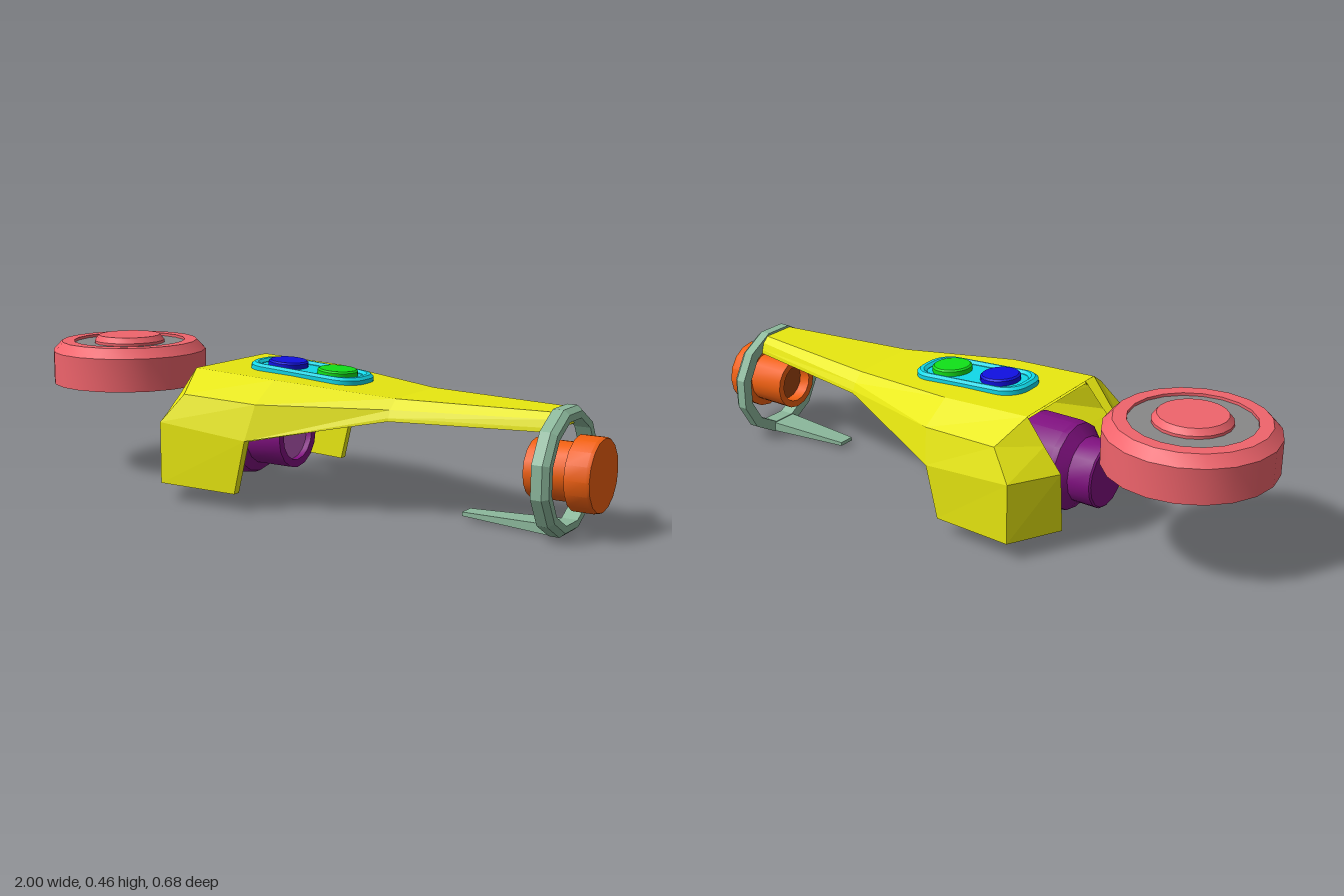
import * as THREE from 'three';
import { toCreasedNormals } from 'three/addons/utils/BufferGeometryUtils.js';

const mat = (color, extra = {}) => new THREE.MeshStandardMaterial({ color, ...extra });
const mats = {
  yellow: mat(0xe8e810, { flatShading: true, side: THREE.DoubleSide }),
  wheel: mat(0xf0646c), grey: mat(0x888888),
  purple: mat(0x801080), lens: mat(0xb858b8),
  orange: mat(0xf06010), nozzle: mat(0xa04410),
  sage: mat(0x8cb89c), cyan: mat(0x10d8e8),
  blue: mat(0x1010e0), green: mat(0x10e018),
};

function part(parent, name, geometry, material) {
  const mesh = new THREE.Mesh(geometry, material);
  mesh.name = name;
  parent.add(mesh);
  return mesh;
}

// Lathe from [radius, height] pairs, about y or (alongX) about x
function turned(points, sides, alongX = false, phase = 0) {
  const g = new THREE.LatheGeometry(points.map(p => new THREE.Vector2(...p)), sides);
  g.rotateY(phase);
  if (alongX) g.rotateZ(-Math.PI / 2);
  return toCreasedNormals(g, 0.4);
}

// Hollow canopy: half sections (bottom to top) mirrored, thickened and swept backward to forward
function shellGeometry() {
  const halves = [
    [[-.42, .06, .175], [-.42, .255, .19], [-.36, .33, .19], [-.30, .41, .19]],
    [[-.33, .06, .34], [-.33, .255, .34], [-.26, .345, .305], [-.30, .41, .19]],
    [[-.06, .055, .32], [-.02, .225, .32], [0, .335, .29], [0, .397, .19]],
    [[-.02, .225, .32], [-.02, .225, .32], [0, .335, .29], [0, .397, .19]],
    [[.39, .305, .165], [.39, .315, .163], [.39, .338, .152], [.39, .367, .12]],
    [[.87, .312, .085], [.87, .325, .083], [.87, .348, .075], [.87, .366, .055]],
  ];
  const drop = [0, .005, .015, .025], inset = [.025, .025, .022, .015];
  const mirror = pts => [...pts, ...pts.map(([x, y, z]) => [x, y, -z]).reverse()];
  const loops = halves.map((half, s) => {
    const dx = [.03, .02][s] ?? 0;
    const inner = half.map(([x, y, z], i) => [x + dx, y - drop[i], z - (s ? inset[i] : 0)]);
    return [...mirror(half), ...mirror(inner).reverse()];
  });
  const n = loops[0].length, index = [];
  const quad = (a, b, c, d) => index.push(a, b, c, a, c, d);
  for (let s = 0; s < loops.length - 1; s++)
    for (let i = 0; i < n; i++) {
      const j = (i + 1) % n, a = s * n, b = a + n;
      quad(a + i, b + i, b + j, a + j);
    }
  // end rims between outer and inner skins
  const e = (loops.length - 1) * n;
  for (let i = 0; i < n / 2 - 1; i++) {
    quad(i, i + 1, n - 2 - i, n - 1 - i);
    quad(e + i, e + n - 1 - i, e + n - 2 - i, e + i + 1);
  }
  const g = new THREE.BufferGeometry();
  g.setAttribute('position', new THREE.Float32BufferAttribute(loops.flat(2), 3));
  g.setIndex(index);
  const flat = g.toNonIndexed();
  flat.computeVertexNormals();
  return flat;
}

function roundedRect(Kind, w, h, r) {
  const s = new Kind();
  s.absarc(w - r, h - r, r, 0, Math.PI / 2);
  s.absarc(-w + r, h - r, r, Math.PI / 2, Math.PI);
  s.absarc(-w + r, -h + r, r, Math.PI, Math.PI * 1.5);
  s.absarc(w - r, -h + r, r, Math.PI * 1.5, Math.PI * 2);
  s.closePath();
  return s;
}

function controlPad() {
  const pad = new THREE.Group();
  pad.name = 'controlPad';
  // raised rim
  const rim = roundedRect(THREE.Shape, .195, .083, .065);
  rim.holes.push(roundedRect(THREE.Path, .182, .078, .06));
  const rimGeo = new THREE.ExtrudeGeometry(rim, {
    depth: .025, bevelThickness: .008, bevelSize: .01, bevelSegments: 1, curveSegments: 5,
  });
  rimGeo.rotateX(-Math.PI / 2).translate(0, -.033, 0);
  part(pad, 'padRim', toCreasedNormals(rimGeo, 0.5), mats.cyan);
  // recessed floor
  const floor = new THREE.ExtrudeGeometry(roundedRect(THREE.Shape, .19, .083, .065),
    { depth: .025, bevelEnabled: false, curveSegments: 5 });
  floor.rotateX(-Math.PI / 2).translate(0, -.035, 0);
  part(pad, 'padFloor', toCreasedNormals(floor, 0.5), mats.cyan);
  // buttons
  const button = turned([[0, -.02], [.064, -.02], [.064, .005], [.058, .01], [0, .01]], 20);
  part(pad, 'blueButton', button, mats.blue).position.x = -.09;
  part(pad, 'greenButton', button, mats.green).position.x = .096;
  pad.position.set(.015, .415, 0);
  pad.rotation.z = -.065;
  return pad;
}

export function createModel() {
  const model = new THREE.Group();
  model.name = 'model';

  part(model, 'bodyShell', shellGeometry(), mats.yellow);
  model.add(controlPad());

  // Wheel lying flat at the tail
  const wheel = new THREE.Group();
  wheel.name = 'wheel';
  wheel.position.x = -.74;
  model.add(wheel);
  part(wheel, 'tyre', turned([[0, .305], [.262, .305], [.262, .415], [.232, .447],
    [.19, .447], [.19, .43], [0, .43]], 20), mats.wheel);
  part(wheel, 'wheelDisc', turned([[.19, .438], [.1, .438]], 20), mats.grey);
  part(wheel, 'hub', turned([[.12, .43], [.12, .447], [.105, .465], [0, .465]], 20), mats.wheel);

  // Drive barrel under the shell
  const barrel = part(model, 'barrel', turned([[0, -.47], [.1, -.47], [.105, -.465], [.105, -.39],
    [.14, -.36], [.143, -.34], [.143, -.21], [.135, -.19], [.105, -.17], [.105, -.04],
    [.08, -.04], [.08, -.06]], 16, true), mats.purple);
  const lens = part(model, 'barrelLens', turned([[.08, -.06], [0, -.06]], 16, true), mats.lens);

  // Nose plug with a hollow rear
  const plug = part(model, 'nosePlug', turned([[.065, .83], [.065, .79], [.088, .79], [.088, .92],
    [.112, .925], [.112, .99], [.108, 1], [0, 1]], 16, true), mats.orange);
  const socket = part(model, 'plugSocket', turned([[0, .83], [.065, .83]], 16, true), mats.nozzle);

  // Twelve-sided nose ring
  const ring = part(model, 'noseRing', turned([[.156, .86], [.192, .86], [.192, .893],
    [.178, .91], [.156, .91], [.156, .86]], 12, true, Math.PI / 12), mats.sage);
  for (const m of [barrel, lens, plug, socket, ring]) m.position.y = .188;

  // Tongue reaching back from the ring, tapered toward its tip
  const tongue = new THREE.BoxGeometry(.3, 1, 1, 2, 1, 1);
  const pos = tongue.attributes.position;
  for (let i = 0; i < pos.count; i++) {
    const t = pos.getX(i) / .3 + .5;
    const y = pos.getY(i) > 0 ? .027 + .008 * t : .012 * (1 - t) + .003;
    pos.setXYZ(i, .57 + .3 * t, y, pos.getZ(i) * (.055 + .04 * t));
  }
  part(model, 'tongue', toCreasedNormals(tongue, 0.4), mats.sage);
  return model;
}
